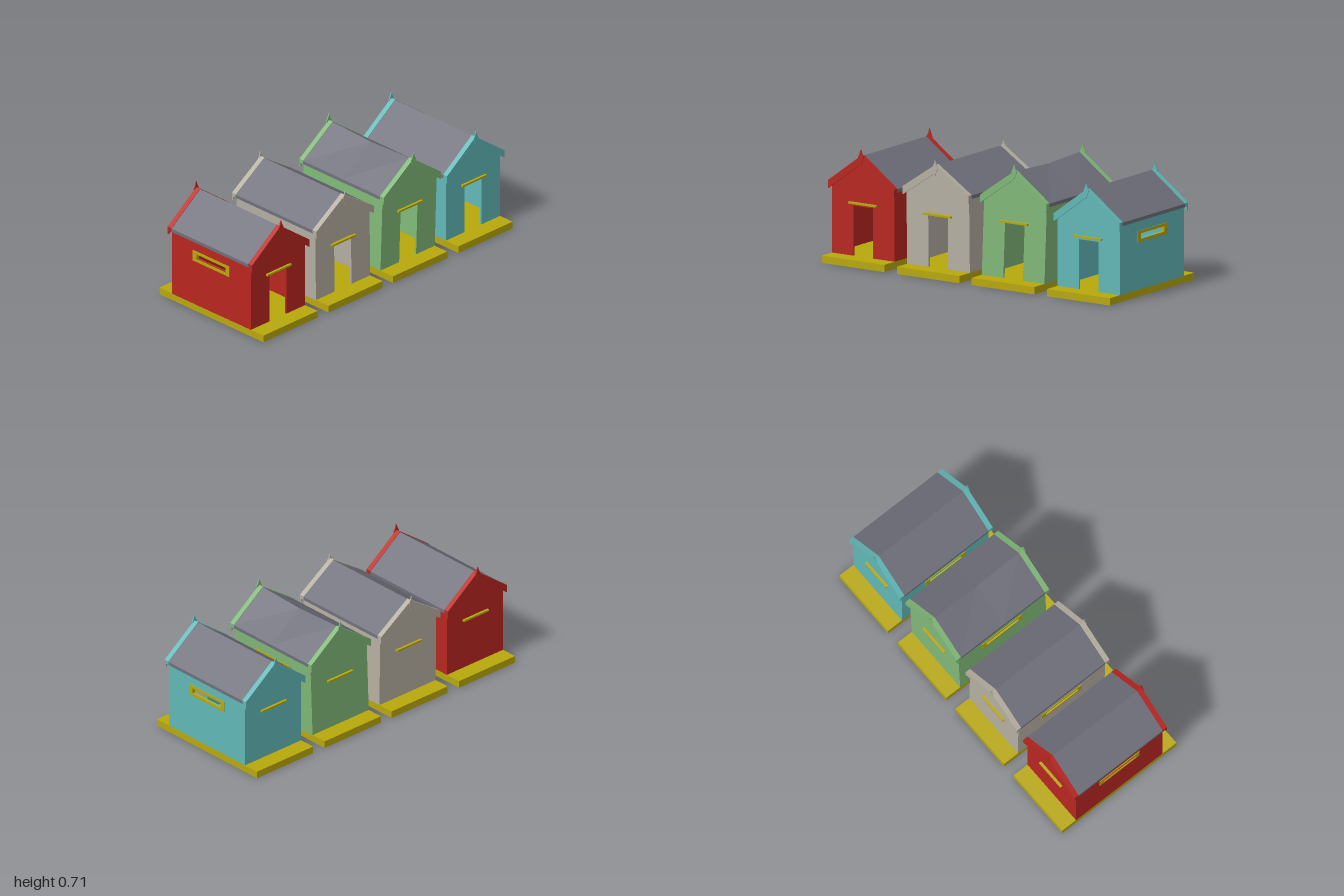
import * as THREE from 'three';

const YELLOW = 0xb8a80c, SLATE = 0x70707c;
const HALF = 0.215, EAVE = 0.227, WALL = 0.012, ROOF = 0.02, FLOOR = 0.042;

// One row of huts; the middle two are a little crooked
const HUTS = [
  { x: -0.773, color: 0xb82620, eave: 0.459, ridge: 0.627, tip: 0.666, door: 0.33, bar: 0.347, lift: 0, lean: 0, sag: 0 },
  { x: -0.257, color: 0xb5afa2, eave: 0.487, ridge: 0.638, tip: 0.668, door: 0.355, bar: 0.347, lift: 0.01, lean: -0.012, sag: 0 },
  { x: 0.255, color: 0x80b878, eave: 0.506, ridge: 0.668, tip: 0.712, door: 0.36, bar: 0.37, lift: 0.04, lean: 0.036, sag: 0.012 },
  { x: 0.773, color: 0x62b8b8, eave: 0.459, ridge: 0.627, tip: 0.666, door: 0.33, bar: 0.347, lift: 0, lean: 0, sag: 0 },
];

const outline = (pts) => new THREE.Shape(pts.map(([x, y]) => new THREE.Vector2(x, y)));

const rect = (w, y0, y1) => [[-w, y0], [w, y0], [w, y1], [-w, y1]];

const holePath = (w, y0, y1) =>
  new THREE.Path(rect(w, y0, y1).reverse().map(([x, y]) => new THREE.Vector2(x, y)));

// Extrude a shape between two z positions
function slab(shape, z0, z1, steps = 1) {
  const g = new THREE.ExtrudeGeometry(shape, { depth: z1 - z0, steps, bevelEnabled: false });
  return g.translate(0, 0, z0);
}

// Band following both roof slopes
const chevron = (eave, ridge, t) => outline([
  [-EAVE, eave - t], [0, ridge - t], [EAVE, eave - t], [EAVE, eave], [0, ridge], [-EAVE, eave],
]);

// Lean the hut sideways, leaving the ground in place
function lean(geometry, amount) {
  const p = geometry.attributes.position;
  for (let i = 0; i < p.count; i++) {
    p.setX(i, p.getX(i) + amount * Math.max(0, p.getY(i) - FLOOR));
  }
  geometry.computeVertexNormals();
  return geometry;
}

function makeHut(h) {
  const hut = new THREE.Group();
  hut.name = 'hut';
  hut.position.x = h.x;
  const paint = new THREE.MeshStandardMaterial({ color: h.color });
  const trim = new THREE.MeshStandardMaterial({ color: YELLOW });
  const slate = new THREE.MeshStandardMaterial({ color: SLATE });
  const add = (name, geometry, material) => {
    const mesh = new THREE.Mesh(lean(geometry, h.lean), material);
    mesh.name = name;
    hut.add(mesh);
  };

  // Platform
  add('platform', new THREE.BoxGeometry(HALF * 2, FLOOR, 0.83).translate(0, FLOOR / 2, 0), trim);

  // Gable walls, the front one notched for the doorway
  const base = FLOOR - 0.002;
  const slope = (h.ridge - h.eave) / EAVE;
  const top = h.ridge - ROOF + 0.004;
  const side = top - slope * HALF;
  const gable = [[HALF, base], [HALF, side], [0, top], [-HALF, side], [-HALF, base]];
  const doorway = [[-0.067, base], [-0.067, h.door], [0.067, h.door], [0.067, base]];
  add('frontWall', slab(outline([...gable, ...doorway]), 0.315 - WALL, 0.315), paint);
  add('backWall', slab(outline(gable), -0.315, -0.315 + WALL), paint);

  // Side walls with framed slot windows
  const w0 = 0.332 + h.lift, w1 = 0.363 + h.lift;
  for (const s of [-1, 1]) {
    const wall = outline(rect(0.315 - WALL, base, side));
    wall.holes.push(holePath(0.116, w0, w1));
    add('sideWall', slab(wall, HALF - WALL, HALF).rotateY(s * Math.PI / 2), paint);
    const frame = outline(rect(0.145, w0 - 0.017, w1 + 0.017));
    frame.holes.push(holePath(0.115, w0, w1));
    add('windowFrame', slab(frame, HALF - WALL - 0.002, HALF + 0.004).rotateY(s * Math.PI / 2), trim);
  }

  // Thin ledges over the door and on the back wall
  const ledge = (y, z) => new THREE.BoxGeometry(0.19, 0.011, 0.03).translate(0, y, z);
  add('doorLedge', ledge(h.bar, 0.315), trim);
  add('backLedge', ledge(0.347, -0.315), trim);

  // Slate roof, with an optional dip along the ridge
  const roof = slab(chevron(h.eave, h.ridge, ROOF), -0.308, 0.308, 2);
  const p = roof.attributes.position;
  for (let i = 0; i < p.count; i++) {
    if (Math.abs(p.getX(i)) < 0.001) p.setY(i, p.getY(i) - h.sag * (1 - Math.abs(p.getZ(i)) / 0.308));
  }
  add('roof', roof, slate);

  // Painted verge, barge boards and finial at each end
  const t = h.tip;
  const spike = outline([
    [0, t], [-0.008, t - 0.025], [-0.018, t - 0.045], [-0.013, t - 0.06],
    [0, t - 0.09], [0.013, t - 0.06], [0.018, t - 0.045], [0.008, t - 0.025],
  ]);
  for (const s of [-1, 1]) {
    const end = (shape, a, b) => slab(shape, Math.min(s * a, s * b), Math.max(s * a, s * b));
    add('verge', end(chevron(h.eave + 0.003, h.ridge + 0.003, ROOF + 0.003), 0.306, 0.33), paint);
    add('bargeBoard', end(chevron(h.eave + 0.003, h.ridge + 0.003, 0.047), 0.328, 0.337), paint);
    add('finial', end(spike, 0.334, 0.341), paint);
  }
  return hut;
}

export function createModel() {
  const model = new THREE.Group();
  model.name = 'beachHuts';
  for (const h of HUTS) model.add(makeHut(h));
  return model;
}
